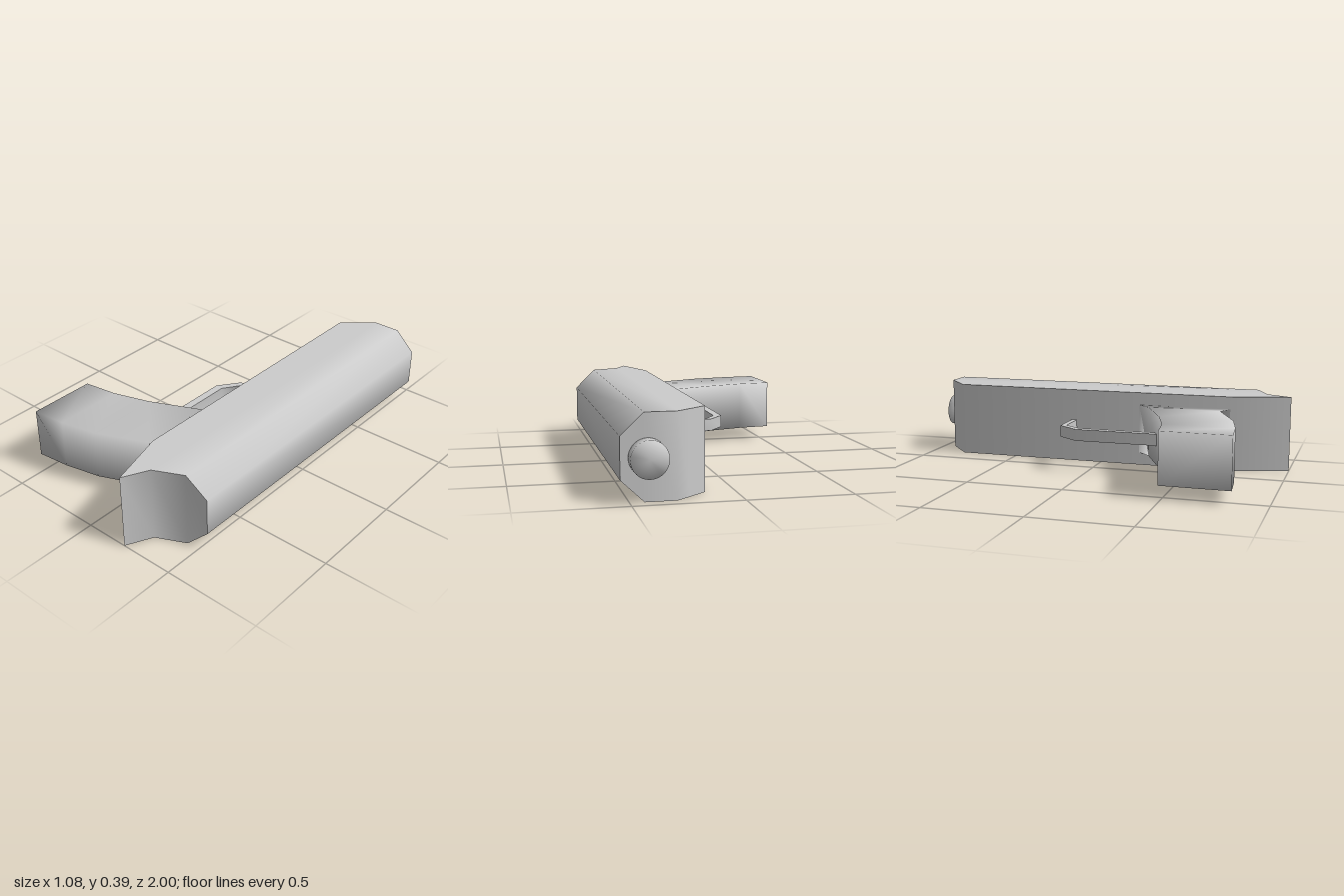
import * as THREE from 'three';
import { mergeVertices, toCreasedNormals } from 'three/addons/utils/BufferGeometryUtils.js';

const material = new THREE.MeshStandardMaterial({ color: 0xcccccc });

// Closed loft along x through rectangular sections [x, zMin, zMax, yMin, yMax]
function loft(sections) {
  const positions = [];
  const index = [];
  for (const [x, z0, z1, y0, y1] of sections) {
    positions.push(x, y0, z0, x, y1, z0, x, y1, z1, x, y0, z1);
  }
  for (let i = 0; i < sections.length - 1; i++) {
    for (let j = 0; j < 4; j++) {
      const a = i * 4 + j;
      const b = i * 4 + (j + 1) % 4;
      index.push(a, b, b + 4, a, b + 4, a + 4);
    }
  }
  const e = (sections.length - 1) * 4;
  index.push(0, 2, 1, 0, 3, 2, e, e + 1, e + 2, e, e + 2, e + 3);
  const geometry = new THREE.BufferGeometry();
  geometry.setAttribute('position', new THREE.Float32BufferAttribute(positions, 3));
  geometry.setIndex(index);
  geometry.computeVertexNormals();
  return geometry;
}

// Share all vertices so that shading runs smoothly over every edge
function smooth(geometry) {
  geometry.deleteAttribute('normal');
  geometry.deleteAttribute('uv');
  const merged = mergeVertices(geometry);
  merged.computeVertexNormals();
  return merged;
}

export function createModel() {
  const model = new THREE.Group();
  const add = (name, geometry) => {
    const mesh = new THREE.Mesh(geometry, material);
    mesh.name = name;
    model.add(mesh);
    return mesh;
  };

  // Slide and frame, with bevelled top, angled nose and pointed tail
  add('body', toCreasedNormals(loft([
    [0.14, -0.81, 0.70, 0, 0.39],
    [0.225, -0.885, 1.0, 0, 0.39],
    [0.29, -0.94, 0.87, 0, 0.39],
    [0.435, -0.94, 0.80, 0, 0.39],
    [0.54, -0.94, 0.78, 0.1, 0.29],
  ]), Math.PI / 3));

  // Curved handle, flaring where it meets the frame
  add('grip', loft([
    [-0.543, 0.485, 0.83, 0.067, 0.325],
    [-0.37, 0.46, 0.812, 0.067, 0.325],
    [-0.18, 0.40, 0.77, 0.067, 0.325],
    [0.07, 0.285, 0.66, 0.067, 0.325],
    [0.14, 0.215, 0.70, 0.067, 0.325],
  ]));

  // Short muzzle
  const muzzle = smooth(new THREE.CylinderGeometry(0.085, 0.085, 0.08, 32));
  muzzle.rotateX(Math.PI / 2);
  add('muzzle', muzzle).position.set(0.42, 0.195, -0.96);

  // Trigger guard: bent strip drawn in the x-z plane
  const strip = new THREE.Shape([
    [0.15, -0.165], [-0.045, -0.165], [-0.126, -0.055], [-0.126, 0.40],
    [-0.086, 0.40], [-0.086, -0.05], [-0.027, -0.137], [0.15, -0.137],
  ].map(([x, z]) => new THREE.Vector2(x, z)));
  const guard = new THREE.ExtrudeGeometry(strip, { depth: 0.06, bevelEnabled: false });
  guard.rotateX(Math.PI / 2);
  add('triggerGuard', toCreasedNormals(guard, Math.PI / 3)).position.y = 0.225;

  return model;
}
